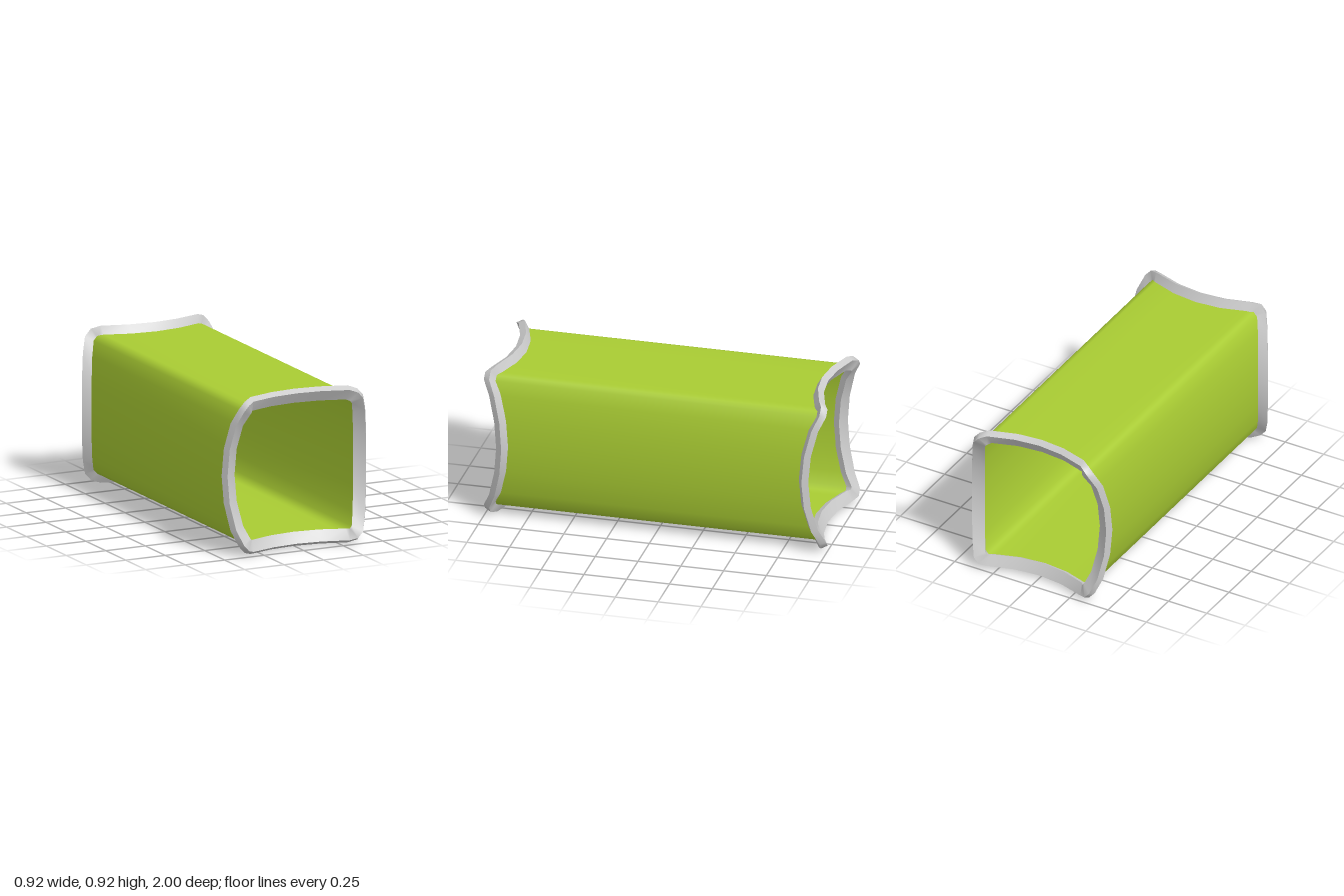
import * as THREE from 'three';
import { mergeGeometries } from 'three/addons/utils/BufferGeometryUtils.js';

const CENTER_Y = 0.4575;

// Quarter of the tunnel section: x, y from the centre, and how far the scalloped end reaches (0..1)
const QUARTER = [
  [0, 0.41, 0], [0.15, 0.41, 0.18], [0.3, 0.41, 0.72], [0.33, 0.4, 1],
  [0.352, 0.375, 1], [0.38, 0.3, 0.56], [0.403, 0.155, 0.15], [0.41, 0, 0],
];

// Full section, clockwise from the top as seen from the front, with outward normals
function makeRing() {
  const flip = (pts, sx, sy) => pts.map(([x, y, t]) => [sx * x, sy * y, t]);
  const back = [...QUARTER].reverse();
  const pts = [
    ...QUARTER.slice(0, -1), ...flip(back, 1, -1).slice(0, -1),
    ...flip(QUARTER, -1, -1).slice(0, -1), ...flip(back, -1, 1).slice(0, -1),
  ];
  const n = pts.length;
  const edgeNormal = (a, b) => new THREE.Vector2(a[1] - b[1], b[0] - a[0]).normalize();
  return pts.map((p, i) => {
    const normal = edgeNormal(pts[(i + n - 1) % n], p).add(edgeNormal(p, pts[(i + 1) % n])).normalize();
    return { x: p[0], y: p[1], z: 0.865 + 0.088 * p[2], normal };
  });
}

// Closed smooth band between two loops of points
function band(loopA, loopB) {
  const n = loopA.length;
  const index = [];
  for (let i = 0; i < n; i++) {
    const j = (i + 1) % n;
    index.push(i, n + i, j, j, n + i, n + j);
  }
  const g = new THREE.BufferGeometry();
  g.setAttribute('position', new THREE.Float32BufferAttribute([...loopA, ...loopB].flat(), 3));
  g.setIndex(index);
  g.computeVertexNormals();
  return g;
}

export function createModel() {
  const group = new THREE.Group();
  const ring = makeRing();

  // Thin tunnel wall with scalloped ends
  const wall = (s) => ring.map((p) => [p.x, p.y + CENTER_Y, s * p.z]);
  const tunnel = new THREE.Mesh(
    band(wall(-1), wall(1)),
    new THREE.MeshStandardMaterial({ color: 0xa9cc33, side: THREE.DoubleSide })
  );
  tunnel.name = 'tunnelWall';
  group.add(tunnel);

  // Flared rim: a tilted rectangle (outward offset, z offset) swept round each end
  const section = [[0.0475, 0.012], [0.0275, 0.047], [-0.035, 0.011], [-0.015, -0.024]];
  const loops = section.map(([out, dz]) => ring.map((p) => [
    p.x + p.normal.x * out, p.y + p.normal.y * out + CENTER_Y, p.z + dz,
  ]));
  const rimGeometry = mergeGeometries(loops.map((loop, i) => band(loop, loops[(i + 1) % 4])));
  const rimMaterial = new THREE.MeshStandardMaterial({ color: 0xcccccc });
  ['frontRim', 'backRim'].forEach((name, i) => {
    const rim = new THREE.Mesh(rimGeometry, rimMaterial);
    rim.name = name;
    rim.rotation.y = i * Math.PI;
    group.add(rim);
  });

  return group;
}
